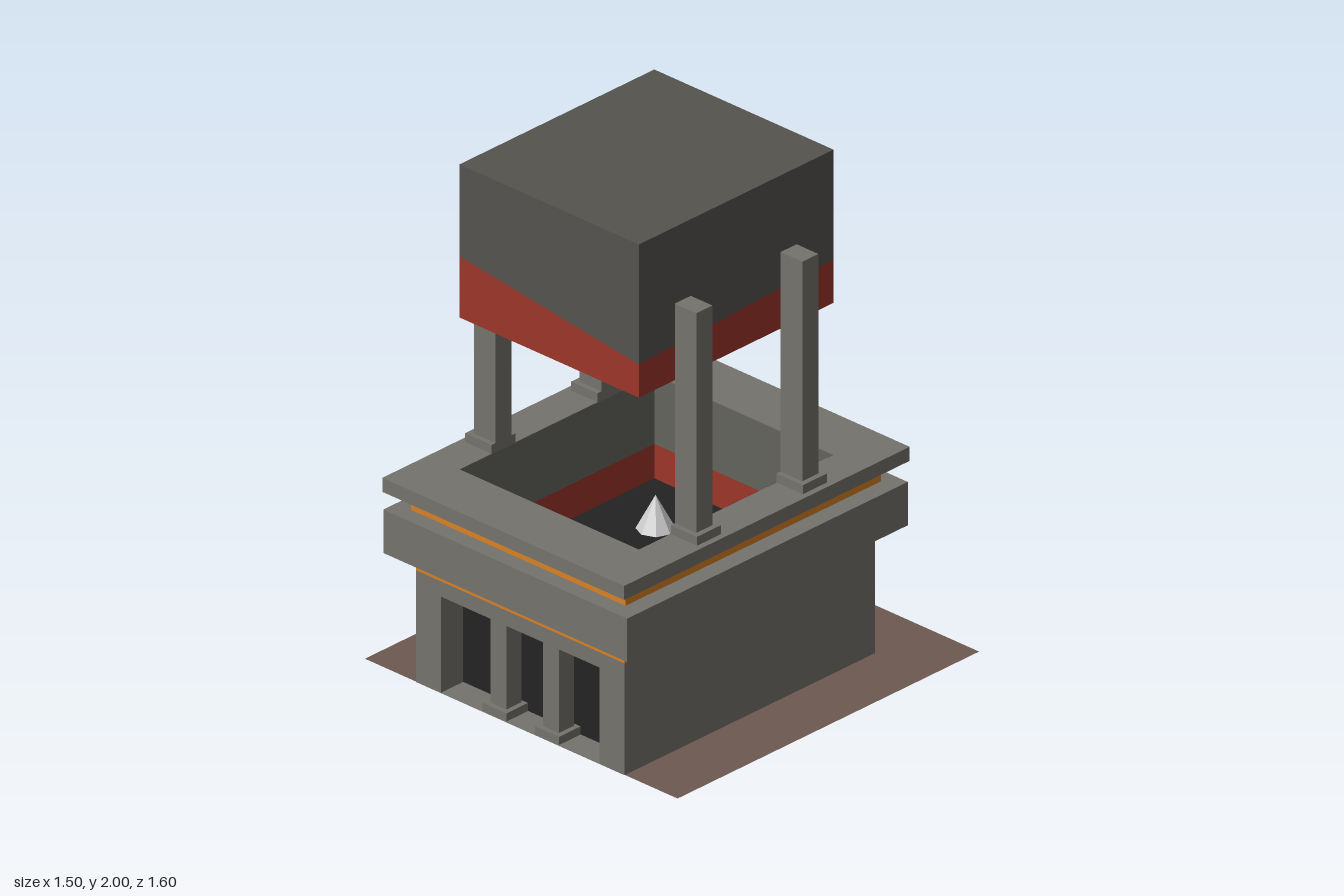
import * as THREE from 'three';

const mat = (color, side = THREE.FrontSide) =>
  new THREE.MeshStandardMaterial({ color, side, flatShading: true });

const stone = mat(0x74736d);
const darkStone = mat(0x54534e);
const orange = mat(0xd98024);
const red = mat(0x9c3528, THREE.DoubleSide);
const liner = mat(0x64635d, THREE.DoubleSide);
const shadow = mat(0x232323);
const earth = mat(0x6d5a51, THREE.DoubleSide);

// Footprint shared by the raised block and the pit below it
const PIT = { x: 0.43, back: -0.405, front: 0.57 };

export function createModel() {
  const model = new THREE.Group();

  function add(name, geometry, material, parent = model) {
    const mesh = new THREE.Mesh(geometry, material);
    mesh.name = name;
    parent.add(mesh);
    return mesh;
  }

  // Box given by its extents on each axis
  function box(name, x0, x1, y0, y1, z0, z1, material, parent) {
    const geometry = new THREE.BoxGeometry(x1 - x0, y1 - y0, z1 - z0);
    geometry.translate((x0 + x1) / 2, (y0 + y1) / 2, (z0 + z1) / 2);
    return add(name, geometry, material, parent);
  }

  function rectangle(Type, x0, x1, y0, y1) {
    const r = new Type();
    r.moveTo(x0, y0);
    r.lineTo(x1, y0);
    r.lineTo(x1, y1);
    r.lineTo(x0, y1);
    r.closePath();
    return r;
  }

  // Rectangular tier pierced by the pit
  function tier(name, halfWidth, back, front, y0, y1, material) {
    const shape = rectangle(THREE.Shape, -halfWidth, halfWidth, -front, -back);
    shape.holes.push(rectangle(THREE.Path, -PIT.x, PIT.x, -PIT.front, -PIT.back));
    const geometry = new THREE.ExtrudeGeometry(shape, { depth: y1 - y0, bevelEnabled: false });
    geometry.rotateX(-Math.PI / 2).translate(0, y0, 0);
    return add(name, geometry, material);
  }

  // Four walls whose lower and upper heights are set at each corner
  // (front -x, front +x, back +x, back -x)
  function walls(name, low, high, material, inset = 0) {
    const x = PIT.x - inset, f = PIT.front - inset, b = PIT.back + inset;
    const corners = [[-x, f], [x, f], [x, b], [-x, b]];
    const positions = [];
    for (let i = 0; i < 4; i++) {
      const j = (i + 1) % 4;
      const at = (k, y) => [corners[k][0], y[k], corners[k][1]];
      const [a, c, d, e] = [at(i, low), at(j, low), at(j, high), at(i, high)];
      positions.push(...a, ...c, ...d, ...a, ...d, ...e);
    }
    const geometry = new THREE.BufferGeometry();
    geometry.setAttribute('position', new THREE.Float32BufferAttribute(positions, 3));
    geometry.computeVertexNormals();
    return add(name, geometry, material);
  }

  // Horizontal rectangle filling the block or pit footprint
  function panel(name, y, up, material) {
    const geometry = new THREE.PlaneGeometry(2 * PIT.x, PIT.front - PIT.back);
    geometry.rotateX(up ? -Math.PI / 2 : Math.PI / 2);
    geometry.translate(0, y, (PIT.front + PIT.back) / 2);
    return add(name, geometry, material);
  }

  // Ground sheet
  const ground = new THREE.PlaneGeometry(1.5, 1.51);
  ground.rotateX(-Math.PI / 2).translate(0, 0, -0.045);
  add('ground', ground, earth);

  // Stacked tiers of the building
  tier('body', 0.5, -0.54, 0.6, 0.002, 0.44, stone);
  tier('lowerOrangeBand', 0.5, -0.54, 0.715, 0.44, 0.505, orange);
  tier('wideBand', 0.585, -0.615, 0.79, 0.505, 0.675, stone);
  tier('upperOrangeBand', 0.515, -0.555, 0.725, 0.675, 0.75, orange);
  tier('topSlab', 0.58, -0.63, 0.8, 0.75, 0.805, stone);

  // Front wall with its wide doorway
  const facade = rectangle(THREE.Shape, -0.5, 0.5, 0.002, 0.44);
  facade.holes.push(rectangle(THREE.Path, -0.38, 0.38, 0.004, 0.38));
  const facadeGeometry = new THREE.ExtrudeGeometry(facade, { depth: 0.115, bevelEnabled: false });
  facadeGeometry.translate(0, 0, 0.6);
  add('frontWall', facadeGeometry, stone);
  box('doorwayBack', -0.38, 0.38, 0.004, 0.38, 0.595, 0.604, shadow);

  // Doorway pillars and tall columns, mirrored left and right
  for (const side of [-1, 1]) {
    const pillar = new THREE.Group();
    pillar.name = 'doorwayPillar';
    pillar.position.set(side * 0.126, 0, 0.655);
    box('pillarShaft', -0.038, 0.038, 0.03, 0.38, -0.038, 0.038, stone, pillar);
    box('pillarBase', -0.058, 0.058, 0.002, 0.036, -0.05, 0.058, stone, pillar);
    model.add(pillar);

    for (const z of [0.35, -0.18]) {
      const column = new THREE.Group();
      column.name = 'tallColumn';
      column.position.set(side * 0.43, 0.805, z);
      const span = (w) => (side > 0 ? [0, w] : [-w, 0]);
      box('columnShaft', ...span(0.104), 0, 0.895, -0.04, 0.04, stone, column);
      box('columnBase', ...span(0.126), 0, 0.035, -0.06, 0.06, stone, column);
      model.add(column);
    }
  }

  // Pit lining, floor and small spike
  const level = (y) => [y, y, y, y];
  walls('pitUpperWalls', level(0.535), level(0.804), liner, 0.002);
  walls('pitLowerWalls', level(0.4), level(0.535), red, 0.002);
  panel('pitFloor', 0.4, true, shadow);
  const spike = new THREE.ConeGeometry(0.07, 0.13, 8);
  spike.translate(-0.17, 0.465, -0.14);
  add('spike', spike, mat(0xcccccc));

  // Raised block with a slanting red lower edge
  const seam = [1.64, 1.53, 1.57, 1.52];
  walls('blockLowerWalls', level(1.4), seam, red);
  walls('blockUpperWalls', seam, level(2), darkStone);
  panel('blockTop', 2, true, darkStone);
  panel('blockUnderside', 1.4, false, red);

  return model;
}
